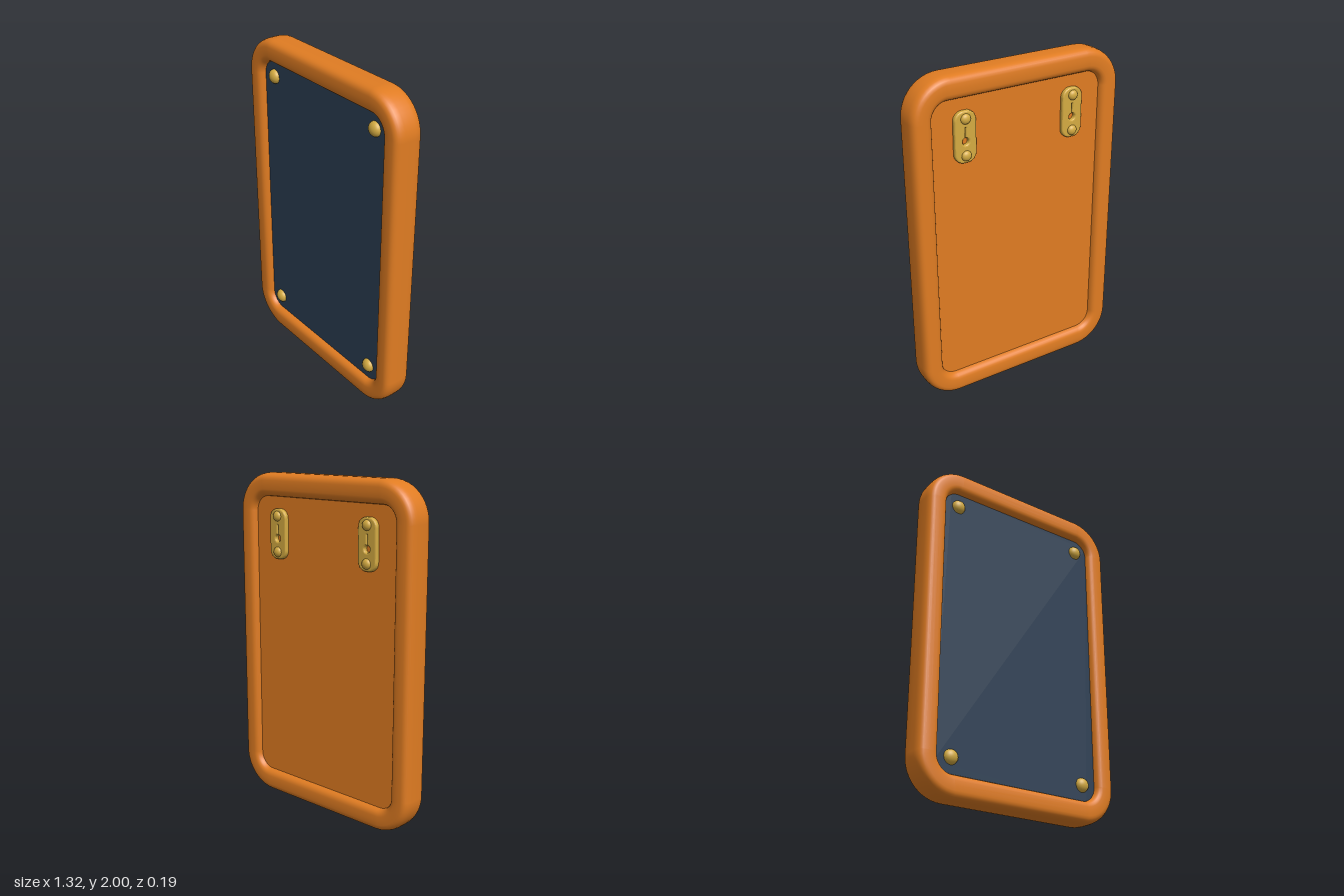
import * as THREE from 'three';

const mat = (name, color, side = THREE.FrontSide) => {
  const m = new THREE.MeshStandardMaterial({ color, side });
  m.name = name;
  return m;
};

// Rounded rectangle outline, centred on the origin
function roundedRect(w, h, r) {
  const s = new THREE.Shape();
  s.absarc(w - r, h - r, r, 0, Math.PI / 2);
  s.absarc(-w + r, h - r, r, Math.PI / 2, Math.PI);
  s.absarc(-w + r, -h + r, r, Math.PI, Math.PI * 1.5);
  s.absarc(w - r, -h + r, r, Math.PI * 1.5, Math.PI * 2);
  s.closePath();
  return s;
}

// Soft rectangular ring: a superellipse section swept between inner and outer outlines
function frameGeometry() {
  const section = 32, arc = 12, ring = 4 * (arc + 1);
  const pos = [], idx = [];
  const soft = (v) => Math.sign(v) * Math.abs(v) ** 0.6;
  for (let i = 0; i < ring; i++) {
    const corner = Math.floor(i / (arc + 1));
    const a = (corner + (i % (arc + 1)) / arc) * Math.PI / 2;
    const sx = corner === 0 || corner === 3 ? 1 : -1;
    const sy = corner < 2 ? 1 : -1;
    for (let j = 0; j < section; j++) {
      const b = (j / section) * Math.PI * 2;
      const t = 0.5 + 0.5 * soft(Math.cos(b));
      const w = THREE.MathUtils.lerp(0.535, 0.66, t);
      const h = THREE.MathUtils.lerp(0.86, 1.0, t);
      const r = THREE.MathUtils.lerp(0.09, 0.23, t);
      pos.push(sx * (w - r) + r * Math.cos(a), sy * (h - r) + r * Math.sin(a), 0.09 * soft(Math.sin(b)));
      const i2 = (i + 1) % ring, j2 = (j + 1) % section;
      const p = i * section + j, q = i2 * section + j, s = i2 * section + j2, u = i * section + j2;
      idx.push(p, q, s, p, s, u);
    }
  }
  const g = new THREE.BufferGeometry();
  g.setAttribute('position', new THREE.Float32BufferAttribute(pos, 3));
  g.setIndex(idx);
  g.computeVertexNormals();
  return g;
}

// Flat slab with its faces at z0 and z1
function slab(w, h, r, z0, z1) {
  const g = new THREE.ExtrudeGeometry(roundedRect(w, h, r), { depth: z1 - z0, bevelEnabled: false, curveSegments: 8 });
  return g.translate(0, 0, z0);
}

// Dome bulging towards +z
function dome(radius, height) {
  const g = new THREE.SphereGeometry(radius, 20, 8, 0, Math.PI * 2, 0, Math.PI / 2);
  return g.rotateX(Math.PI / 2).scale(1, 1, height / radius);
}

// Hanger plate with a keyhole: round opening below, narrow slot above
function hangerGeometry() {
  const s = roundedRect(0.056, 0.138, 0.045);
  const hole = new THREE.Path();
  hole.absarc(0, -0.025, 0.03, Math.PI * 0.62, Math.PI * 2.38);
  hole.absarc(0, 0.052, 0.012, 0, Math.PI);
  hole.closePath();
  s.holes.push(hole);
  return new THREE.ExtrudeGeometry(s, {
    depth: 0.015, bevelThickness: 0.01, bevelSize: 0.01, bevelSegments: 3, curveSegments: 10,
  });
}

export function createModel() {
  const wood = mat('orange wood', 0xe07c22);
  const slate = mat('dark slate', 0x2c3f54);
  const brass = mat('brass', 0xd4ab42);

  const model = new THREE.Group();
  model.name = 'framedBoard';
  const body = new THREE.Group();
  body.name = 'board';
  body.position.y = 1;
  model.add(body);

  const add = (parent, name, geometry, material, x = 0, y = 0, z = 0) => {
    const m = new THREE.Mesh(geometry, material);
    m.name = name;
    m.position.set(x, y, z);
    parent.add(m);
    return m;
  };

  add(body, 'frame', frameGeometry(), wood);
  add(body, 'frontPanel', slab(0.56, 0.885, 0.12, 0, 0.048), slate);
  add(body, 'backPanel', slab(0.56, 0.885, 0.12, -0.05, 0), wood);

  // Pins at the four corners of the front panel
  const pin = dome(0.043, 0.034);
  for (const x of [-0.445, 0.445]) {
    for (const y of [-0.77, 0.775]) add(body, 'cornerPin', pin, brass, x, y, 0.047);
  }

  // Two keyhole hangers with rivets on the back
  const plate = hangerGeometry(), rivet = dome(0.03, 0.021);
  for (const x of [-0.345, 0.345]) {
    const hanger = new THREE.Group();
    hanger.name = 'hanger';
    hanger.position.set(x, 0.645, -0.05);
    hanger.rotation.y = Math.PI;
    body.add(hanger);
    add(hanger, 'hangerPlate', plate, brass);
    for (const y of [-0.105, 0.105]) add(hanger, 'hangerRivet', rivet, brass, 0, y, 0.024);
  }
  return model;
}
